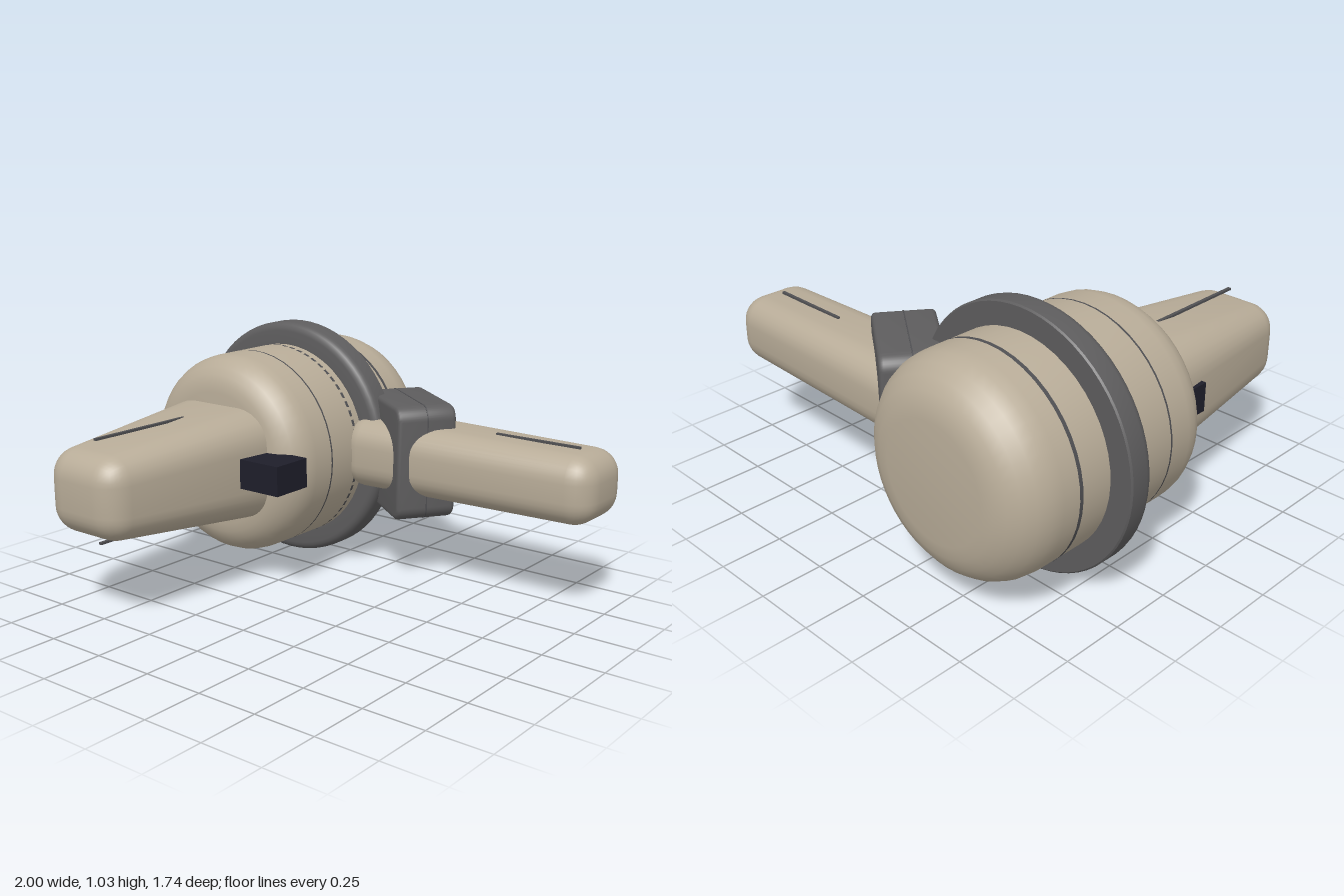
import * as THREE from 'three';
import { toCreasedNormals } from 'three/addons/utils/BufferGeometryUtils.js';
import { RoundedBoxGeometry } from 'three/addons/geometries/RoundedBoxGeometry.js';

const CX = -0.49, CY = 0.515; // axis of the drum

export function createModel() {
  const model = new THREE.Group();
  const mat = (name, color) => new THREE.MeshStandardMaterial({ name, color });
  const shell = mat('warm beige', 0xb8ac98);
  const grey = mat('dark grey', 0x5e5d5e);
  const seamGrey = mat('seam grey', 0x505053);
  const black = mat('blue black', 0x1e1e2a);

  const add = (name, geo, material, x = 0, y = 0, z = 0) => {
    const mesh = new THREE.Mesh(geo, material);
    mesh.name = name;
    mesh.position.set(x, y, z);
    model.add(mesh);
    return mesh;
  };

  // Revolved shape around z; points are [radius, z] from back to front
  const turned = (points, segments = 48) => toCreasedNormals(
    new THREE.LatheGeometry(points.map(p => new THREE.Vector2(...p)), segments).rotateX(Math.PI / 2), 0.5);

  // Quarter circle for profile corners
  const corner = (cr, cz, r, from, to, n = 6) => Array.from({ length: n + 1 }, (_, i) => {
    const a = from + (to - from) * i / n;
    return [cr + r * Math.cos(a), cz + r * Math.sin(a)];
  });

  // Rounded bar along z, widening from its tip (z1) towards its base (z0)
  const taperedBar = (w, h, z0, z1, radius, growX, growY) => {
    const len = z1 - z0;
    const geo = new RoundedBoxGeometry(w, h, len, 4, radius);
    geo.deleteAttribute('uv');
    geo.translate(0, 0, (z0 + z1) / 2);
    const p = geo.attributes.position;
    for (let i = 0; i < p.count; i++) {
      const t = (z1 - p.getZ(i)) / len;
      p.setX(i, p.getX(i) * (1 + growX * t));
      p.setY(i, p.getY(i) * (1 + growY * t));
    }
    return toCreasedNormals(geo, 0.4);
  };

  // Drum
  const H = Math.PI / 2;
  add('drum', turned([
    [0, -0.87],
    ...corner(0.23, -0.68, 0.19, -H, 0),
    ...corner(0.28, -0.035, 0.14, 0, H),
    [0, 0.105],
  ]), shell, CX, CY);

  // Ring with a rounded front edge
  add('drumRing', turned([
    [0.4, -0.457], [0.507, -0.457], [0.513, -0.451],
    ...corner(0.478, -0.382, 0.035, 0, H, 4),
    [0.4, -0.347],
  ], 64), grey, CX, CY);

  // Seams around the drum: continuous and dashed
  const band = (z, width, r, start = 0, arc = Math.PI * 2, n = 48) => new THREE.CylinderGeometry(
    r, r, width, n, 1, true, start, arc).rotateX(H).translate(0, 0, z);
  add('backSeam', band(-0.6, 0.016, 0.422), seamGrey, CX, CY);
  add('frontSeam', band(-0.135, 0.008, 0.421), seamGrey, CX, CY);
  const dashes = new THREE.Group();
  dashes.name = 'dashedSeam';
  dashes.position.set(CX, CY, 0);
  for (let i = 0; i < 64; i++) {
    const dash = new THREE.Mesh(band(-0.302, 0.015, 0.422, i * Math.PI / 32, 0.062, 1), seamGrey);
    dash.name = 'seamDash';
    dashes.add(dash);
  }
  model.add(dashes);

  // Front stem and side arm
  add('frontStem', taperedBar(0.366, 0.315, -0.05, 0.865, 0.1, 0.6, 0.55), shell, CX, CY);
  const arm = taperedBar(0.326, 0.274, -0.15, 1.0, 0.1, 0.2, 0.1);
  add('sideArm', arm.rotateY(H), shell, 0, 0.518, -0.46);

  // Thin strips above and below both limbs
  for (const s of [-1, 1]) {
    add('stemStrip', new THREE.BoxGeometry(0.014, 0.009, 0.47), seamGrey, CX, 0.518 + s * 0.204, 0.525);
    add('armStrip', new THREE.BoxGeometry(0.37, 0.009, 0.012), seamGrey, 0.695, 0.518 + s * 0.145, -0.46);
  }

  // Angled collar around the arm
  const plate = (w, h, r, depth, bevel) => {
    const x = w / 2 - bevel, y = h / 2 - bevel;
    const s = new THREE.Shape();
    s.absarc(x - r, y - r, r, 0, H);
    s.absarc(r - x, y - r, r, H, 2 * H);
    s.absarc(r - x, r - y, r, 2 * H, 3 * H);
    s.absarc(x - r, r - y, r, 3 * H, 4 * H);
    s.closePath();
    const geo = new THREE.ExtrudeGeometry(s, {
      depth: depth - 2 * bevel, curveSegments: 5, bevelEnabled: bevel > 0,
      bevelSize: bevel, bevelThickness: bevel, bevelSegments: 3,
    });
    return toCreasedNormals(geo.translate(0, 0, bevel - depth / 2), 0.6);
  };
  add('collar', plate(0.46, 0.475, 0.04, 0.25, 0.018), grey, 0.075, 0.518, -0.473).rotation.y = -0.625;
  add('collarSeam', plate(0.463, 0.478, 0.058, 0.005, 0), seamGrey, 0.075, 0.518, -0.473).rotation.y = -0.625;

  // Block passing through the base of the stem
  add('sensorBlock', new THREE.BoxGeometry(0.728, 0.12, 0.18), black, -0.404, 0.522, 0.157);

  return model;
}
